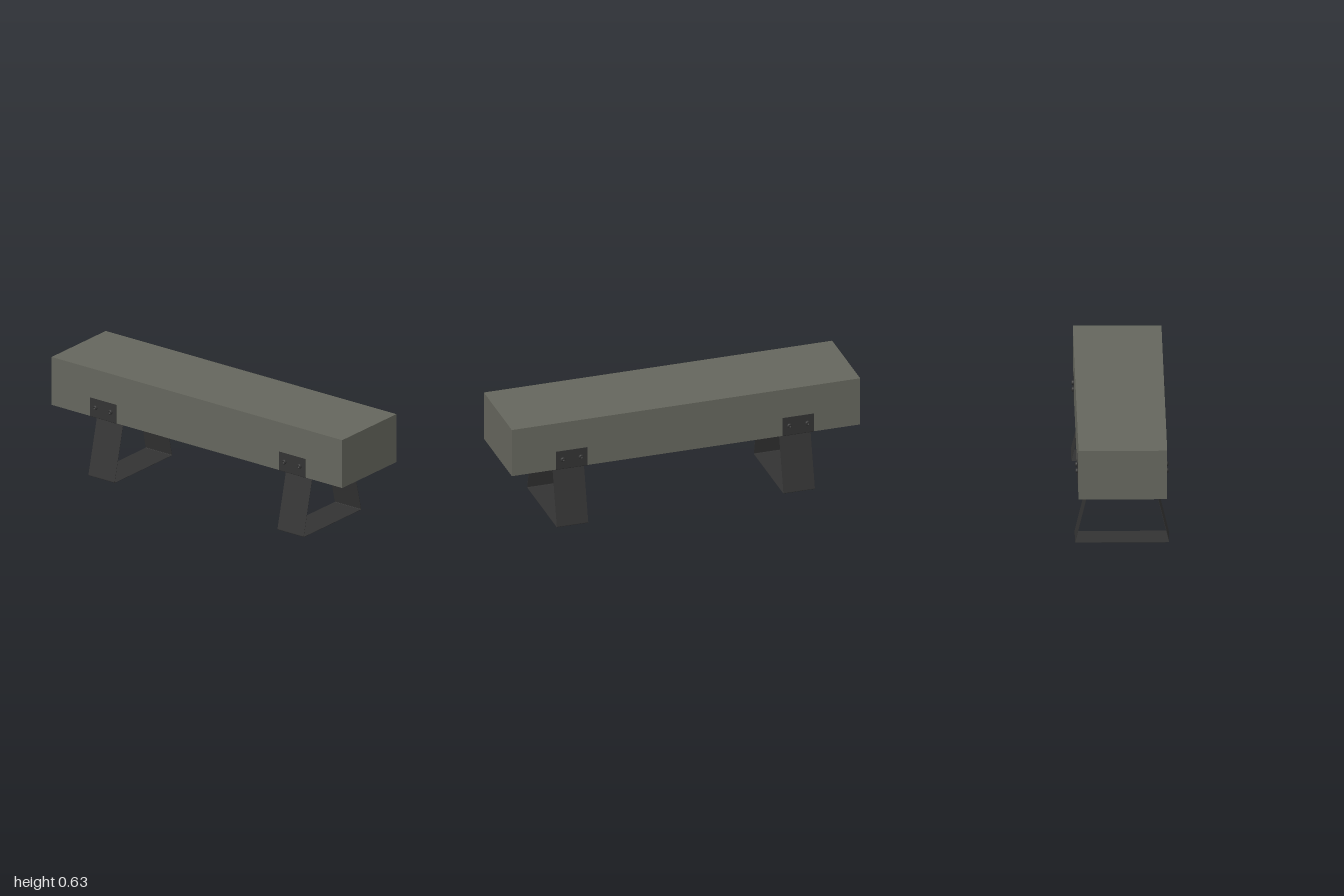
import * as THREE from 'three';

const concrete = new THREE.MeshStandardMaterial({ name: 'greyBeam', color: 0x65665d });
const steel = new THREE.MeshStandardMaterial({ name: 'blackSteel', color: 0x333333 });

const V = (x, y) => new THREE.Vector2(x, y);

// Polyline with each inner corner rounded off
function roundedPath(corners, r) {
  const pts = [corners[0]];
  for (let i = 1; i < corners.length - 1; i++) {
    const c = corners[i];
    const a = c.clone().add(corners[i - 1].clone().sub(c).setLength(r));
    const b = c.clone().add(corners[i + 1].clone().sub(c).setLength(r));
    pts.push(...new THREE.QuadraticBezierCurve(a, c, b).getPoints(5));
  }
  pts.push(corners[corners.length - 1]);
  return pts;
}

// Flat bar of a given thickness and width bent along a path in the z-y plane
function bentStrap(path, thickness, width) {
  const offset = (d) => path.map((p, i) => {
    const t = path[Math.min(i + 1, path.length - 1)].clone().sub(path[Math.max(i - 1, 0)]).normalize();
    return V(p.x - t.y * d, p.y + t.x * d);
  });
  const outline = [...offset(thickness / 2), ...offset(-thickness / 2).reverse()];
  const geo = new THREE.ExtrudeGeometry(new THREE.Shape(outline), { depth: width, bevelEnabled: false });
  geo.translate(0, 0, -width / 2);
  geo.rotateY(-Math.PI / 2);
  return geo;
}

export function createModel() {
  const model = new THREE.Group();
  model.name = 'bench';

  // Solid seat beam
  const beam = new THREE.Mesh(new THREE.BoxGeometry(2, 0.281, 0.483), concrete);
  beam.name = 'seatBeam';
  beam.position.y = 0.4865;
  model.add(beam);

  // Leg strap: side plate, tuck under the beam, splayed leg, floor bar, mirrored
  const half = [V(0.2425, 0.455), V(0.2425, 0.344), V(0.174, 0.344), V(0.2565, 0.001)];
  const mirrored = half.map((p) => V(-p.x, p.y)).reverse();
  const strapGeo = bentStrap(roundedPath([...half, ...mirrored], 0.005), 0.002, 0.18);

  // Button-head screw with a socket
  const screwGeo = new THREE.LatheGeometry([
    V(0.0135, 0), V(0.0135, 0.004), V(0.012, 0.008), V(0.009, 0.0105),
    V(0.006, 0.0105), V(0.006, 0.006), V(0, 0.006),
  ], 20);
  screwGeo.rotateX(Math.PI / 2);

  [['rightLeg', -0.645], ['leftLeg', 0.656]].forEach(([name, x]) => {
    const leg = new THREE.Group();
    leg.name = name;
    leg.position.x = x;
    const strap = new THREE.Mesh(strapGeo, steel);
    strap.name = 'strap';
    leg.add(strap);
    for (const side of [1, -1]) {
      for (const sx of [-0.052, 0.052]) {
        const screw = new THREE.Mesh(screwGeo, steel);
        screw.name = 'screw';
        screw.position.set(sx, 0.404, side * 0.2433);
        if (side < 0) screw.rotation.y = Math.PI;
        leg.add(screw);
      }
    }
    model.add(leg);
  });

  return model;
}
